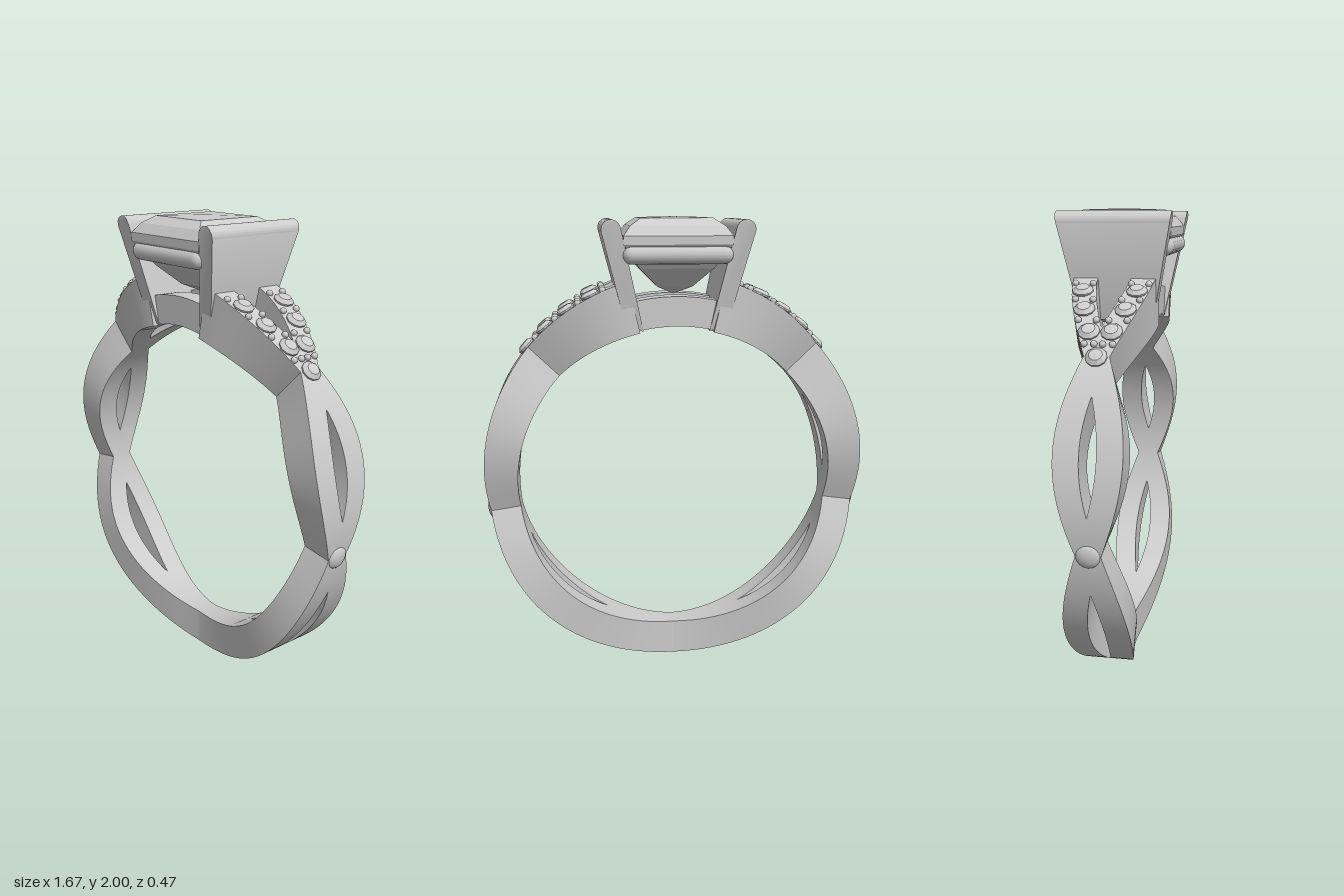
import * as THREE from 'three';
import { toCreasedNormals } from 'three/addons/utils/BufferGeometryUtils.js';

const CY = 0.85; // height of the ring centre
const RAD = Math.PI / 180;
const CROSS = [0, 81.6, 134, 167]; // strand crossings, degrees from the bottom

const metal = new THREE.MeshStandardMaterial({ color: 0xcccccc });
const stone = new THREE.MeshStandardMaterial({ color: 0xcccccc, flatShading: true });

function mesh(name, geometry, material = metal) {
  const m = new THREE.Mesh(geometry, material);
  m.name = name;
  return m;
}

// Outer radius of the band, growing towards the shoulders
function outerRadius(deg) {
  const pts = [[0, 0.85], [81.6, 0.826], [108, 0.85], [134, 0.875], [168, 0.915]];
  const a = Math.min(Math.abs(deg), 168);
  let i = 0;
  while (i < pts.length - 2 && a > pts[i + 1][0]) i++;
  return THREE.MathUtils.mapLinear(a, pts[i][0], pts[i + 1][0], pts[i][1], pts[i + 1][1]);
}

// Sideways weave of a strand; odd, so it crosses smoothly at the bottom
function weave(deg) {
  const a = Math.abs(deg), s = Math.sign(deg);
  const t = (i) => (a - CROSS[i]) / (CROSS[i + 1] - CROSS[i]);
  if (a < CROSS[1]) return s * 0.084 * Math.sin(Math.PI * Math.pow(t(0), 1.4));
  if (a < CROSS[2]) return -s * 0.083 * Math.sin(Math.PI * t(1));
  return s * 0.12 * Math.sin(Math.PI / 2 * Math.min(t(2), 1));
}

// Rectangular section swept round the ring, sharp along its four edges
function sweep(a0, a1, n, rIn, rOut, zc, half) {
  const pos = [], idx = [];
  const corners = (deg) => {
    const z = zc(deg), ro = rOut(deg), s = Math.sin(deg * RAD), c = Math.cos(deg * RAD);
    return [[ro, z + half], [ro, z - half], [rIn, z - half], [rIn, z + half]]
      .map(([r, zz]) => [r * s, CY - r * c, zz]);
  };
  for (let k = 0; k < 4; k++) {
    const base = pos.length / 3;
    for (let i = 0; i <= n; i++) {
      const c = corners(a0 + (a1 - a0) * i / n);
      pos.push(...c[k], ...c[(k + 1) % 4]);
      if (i < n) {
        const b = base + 2 * i;
        idx.push(b, b + 1, b + 2, b + 1, b + 3, b + 2);
      }
    }
  }
  // end caps
  [a0, a1].forEach((a, e) => {
    const b = pos.length / 3;
    corners(a).forEach((p) => pos.push(...p));
    idx.push(...(e ? [b, b + 1, b + 2, b, b + 2, b + 3] : [b, b + 2, b + 1, b, b + 3, b + 2]));
  });
  const g = new THREE.BufferGeometry();
  g.setAttribute('position', new THREE.Float32BufferAttribute(pos, 3));
  g.setIndex(idx);
  g.computeVertexNormals();
  return g;
}

// Faceted stone from [halfWidth, y] levels, listed bottom to top
function facet(levels, sides, scale = 1) {
  return new THREE.LatheGeometry(levels.map(([r, y]) => new THREE.Vector2(r * scale, y * scale)), sides);
}

// Stand an object on the band at an angle, its y axis pointing outwards
function place(object, deg, r, z) {
  object.position.set(r * Math.sin(deg * RAD), CY - r * Math.cos(deg * RAD), z);
  object.rotation.z = Math.PI + deg * RAD;
  return object;
}

// Side plate of the setting: leaning slab with a rounded top, narrowing downwards
function plateGeometry() {
  const s = new THREE.Shape();
  s.moveTo(0.14, 1.53);
  s.lineTo(0.215, 1.55);
  s.lineTo(0.314, 1.94);
  s.absarc(0.275, 1.95, 0.04, -0.24, Math.PI - 0.24, false);
  s.closePath();
  const g = new THREE.ExtrudeGeometry(s, { depth: 2, bevelEnabled: false, curveSegments: 12 });
  g.translate(0, 0, -1);
  const p = g.attributes.position;
  for (let i = 0; i < p.count; i++) {
    p.setZ(i, p.getZ(i) * Math.min(0.235, 0.15 + (p.getY(i) - 1.53) * 0.193));
  }
  return toCreasedNormals(g, 0.6);
}

export function createModel() {
  const ring = new THREE.Group();
  ring.name = 'ring';

  // Two interwoven strands
  for (const s of [1, -1]) {
    ring.add(mesh('bandStrand', sweep(-167, 167, 192, 0.693, outerRadius, (d) => s * weave(d), 0.05)));
  }

  // Small stones and beads on the shoulders, one stone at each side crossing
  const smallStone = facet([[0, -0.8], [0.98, -0.12], [1, 0.05], [0.62, 0.38], [0, 0.42]], 10, 0.043);
  const sideStone = new THREE.SphereGeometry(0.05, 16, 10);
  const bead = new THREE.SphereGeometry(0.014, 10, 8);
  for (const side of [1, -1]) {
    const shoulder = new THREE.Group();
    shoulder.name = side > 0 ? 'leftShoulderStones' : 'rightShoulderStones';
    ring.add(shoulder);
    const addStone = (a, z) => shoulder.add(place(mesh('shoulderStone', smallStone, stone), side * a, outerRadius(a) + 0.006, z));
    addStone(133.6, 0);
    for (const s of [1, -1]) {
      for (const a of [141.2, 148.8, 156.4]) addStone(a, s * (weave(a) + 0.004));
      for (const a of [137.4, 145, 152.6, 160]) {
        for (const dz of [-0.036, 0.036]) {
          shoulder.add(place(mesh('bead', bead), side * a, outerRadius(a) + 0.004, s * weave(a) + dz));
        }
      }
    }
    const crossing = place(mesh('crossingStone', sideStone), side * CROSS[1], 0.82, 0);
    crossing.scale.y = 0.45;
    ring.add(crossing);
  }

  // Setting: side plates, cross rails and arched bridges
  const plate = plateGeometry();
  const rail = new THREE.CapsuleGeometry(0.04, 0.38, 8, 16);
  for (const s of [1, -1]) {
    const p = mesh(s > 0 ? 'leftPlate' : 'rightPlate', plate);
    if (s < 0) p.rotation.y = Math.PI;
    ring.add(p);

    const r = mesh(s > 0 ? 'frontRail' : 'backRail', rail);
    r.rotation.z = Math.PI / 2;
    r.position.set(0, 1.85, s * 0.195);
    ring.add(r);

    ring.add(mesh(s > 0 ? 'frontBridge' : 'backBridge',
      sweep(167, 193, 20, 0.7, () => 0.825, () => s * 0.1, 0.05)));
  }

  // Square-cut centre stone
  const centre = facet([[0, 1.675], [0.075, 1.71], [0.155, 1.79], [0.225, 1.89], [0.225, 1.925],
    [0.195, 1.965], [0.15, 1.995], [0, 2]].map(([r, y]) => [r * Math.SQRT2, y]), 4);
  centre.rotateY(Math.PI / 4);
  ring.add(mesh('centreStone', centre, stone));

  return ring;
}
